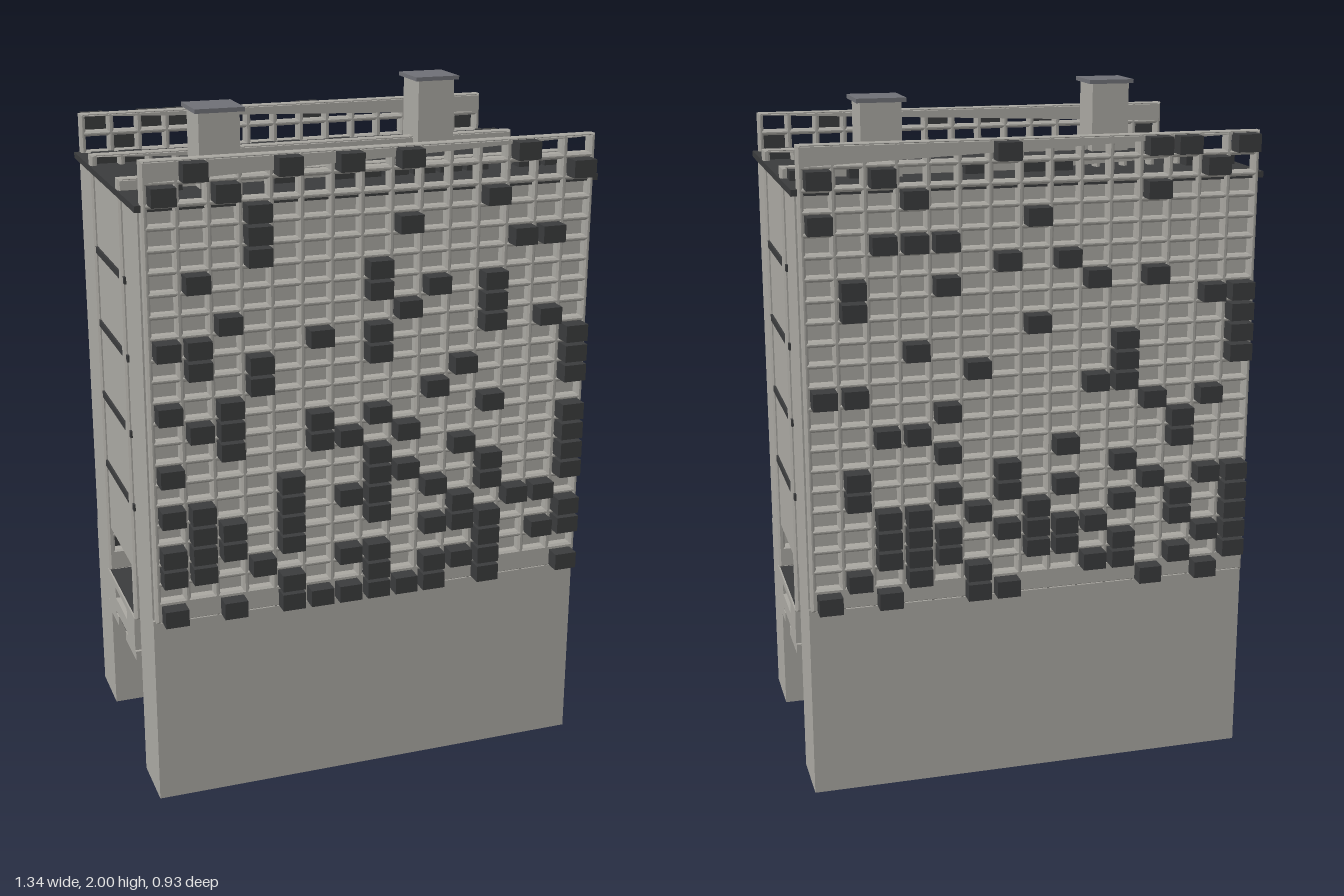
import * as THREE from 'three';

const mat = (color) => new THREE.MeshStandardMaterial({ color, flatShading: true });
const LIGHT = mat(0xa9a7a1), DARK = mat(0x3a3b3c), CAP = mat(0x6f7076);

function box(parent, name, x0, x1, y0, y1, z0, z1, material = LIGHT) {
  const m = new THREE.Mesh(new THREE.BoxGeometry(x1 - x0, y1 - y0, z1 - z0), material);
  m.position.set((x0 + x1) / 2, (y0 + y1) / 2, (z0 + z1) / 2);
  m.name = name;
  parent.add(m);
  return m;
}

// Chamfered lattice plate with a regular grid of openings, and dark blocks plugged
// into some of them. Each row string (bottom first) lists the filled columns in hex.
const ROWS = 22, PITCH_Y = 0.06;
function facade(name, width, y0, zBack, cols, pitchX, rows) {
  const g = new THREE.Group();
  g.name = name;
  const rect = (path, x, y, w, h) => {
    path.moveTo(x - w / 2, y - h / 2);
    path.lineTo(x + w / 2, y - h / 2);
    path.lineTo(x + w / 2, y + h / 2);
    path.lineTo(x - w / 2, y + h / 2);
    path.closePath();
    return path;
  };
  const height = ROWS * PITCH_Y;
  const shape = rect(new THREE.Shape(), 0, y0 + height / 2, width, height);
  const cellX = (c) => (c - (cols - 1) / 2) * pitchX;
  const cellY = (r) => y0 + (r + 0.5) * PITCH_Y;
  for (let r = 0; r < ROWS; r++) {
    for (let c = 0; c < cols; c++) {
      shape.holes.push(rect(new THREE.Path(), cellX(c), cellY(r), pitchX - 0.018, PITCH_Y - 0.016));
    }
  }
  const bevel = 0.006, depth = 0.038;
  const geo = new THREE.ExtrudeGeometry(shape, {
    depth: depth - 2 * bevel, bevelEnabled: true, bevelSegments: 1,
    bevelSize: bevel, bevelThickness: bevel, bevelOffset: -bevel,
  });
  const lattice = new THREE.Mesh(geo, LIGHT);
  lattice.position.z = zBack + bevel;
  lattice.name = 'lattice';
  g.add(lattice);
  rows.forEach((row, r) => {
    for (const ch of row) {
      const x = cellX(parseInt(ch, 16)), y = cellY(r);
      box(g, 'block', x - 0.034, x + 0.034, y - 0.025, y + 0.025, zBack + 0.032, zBack + 0.084, DARK);
    }
  });
  return g;
}

const FRONT_ROWS = [
  '02456789be', '479ab', '01367bde', '01249abe', '1247acd', '0146797be', '478be',
  '07ae', '2568e', '1257b', '029e', '3ae', '137e', '0157bd', '28b', '79b', '17',
  '3cd', '38', '3b', '02e', '1468c',
];
const BACK_ROWS = [
  '0256bd', '1359ace', '23478ade', '2346789ce', '2357ace', '1468bde', '16a',
  '48c', '23c', '4bd', '019a', '5ae', '3ae', '7e', '1de', '149b', '68',
  '234', '07', '3b', '02d', '6bce',
];
const pad = (low, top) => [...low, ...Array(ROWS - 1 - low.length).fill(''), top];
const INNER_FRONT = pad(['0259cf', '147ae', '0368bf'], '15789abcef');
const INNER_BACK = pad(['036adf', '0258cf', '149bf'], '01679df');

export function createModel() {
  const model = new THREE.Group();

  // Main block bridging the passage, on two full-length wall bases
  box(model, 'mainBlock', -0.66, 0.66, 0.64, 1.77, -0.388, 0.388);
  for (const s of [-1, 1]) {
    const z0 = Math.min(s * 0.215, s * 0.397), z1 = Math.max(s * 0.215, s * 0.397);
    box(model, 'wallBase', -0.66, 0.66, 0, 0.58, z0, z1);
    box(model, 'wallUpper', -0.66, 0.66, 0.58, 0.64, s > 0 ? z0 : -0.388, s > 0 ? 0.388 : z1);
  }
  box(model, 'roof', -0.672, 0.672, 1.765, 1.783, -0.41, 0.41, DARK);

  // Outer and inner lattices, mirrored front to back by a half turn
  model.add(facade('frontFacade', 1.31, 0.58, 0.38, 15, 0.0864, FRONT_ROWS));
  const back = facade('backFacade', 1.31, 0.58, 0.38, 15, 0.0864, BACK_ROWS);
  back.rotation.y = Math.PI;
  model.add(back);
  model.add(facade('innerFrontLattice', 1.34, 0.495, 0.166, 16, 0.0823, INNER_FRONT));
  const innerBack = facade('innerBackLattice', 1.34, 0.495, 0.166, 16, 0.0823,
    INNER_BACK.map((row) => [...row].map((c) => (15 - parseInt(c, 16)).toString(16)).join('')));
  innerBack.rotation.y = Math.PI;
  model.add(innerBack);

  // Floor edges showing on both ends
  for (const y of [0.86, 1.085, 1.31, 1.535]) {
    box(model, 'floorEdge', -0.666, 0.666, y - 0.01, y + 0.01, -0.218, 0.218, DARK);
  }

  // Chimneys
  for (const s of [-1, 1]) {
    const x = s * 0.395, z = -s * 0.188;
    box(model, 'chimney', x - 0.058, x + 0.058, 1.77, 1.988, z - 0.062, z + 0.062);
    box(model, 'chimneyCap', x - 0.07, x + 0.07, 1.988, 2, z - 0.072, z + 0.072, CAP);
  }

  // Hollow deck running through the passage
  const deck = new THREE.Group();
  deck.name = 'deck';
  model.add(deck);
  const L = 0.672;
  box(deck, 'deckTop', -L, L, 0.475, 0.495, -0.188, 0.188);
  box(deck, 'deckSurface', -L + 0.005, L - 0.005, 0.495, 0.499, -0.165, 0.165, DARK);
  box(deck, 'deckBottom', -L, L, 0.395, 0.44, -0.08, 0.08);
  for (const z of [-0.045, 0, 0.045]) {
    box(deck, 'pipe', -L + 0.01, L - 0.01, 0.367, 0.395, z - 0.014, z + 0.014, DARK);
  }
  for (const s of [-1, 1]) {
    box(deck, 'deckSide', -L, L, 0.385, 0.475, s * 0.132 - 0.052, s * 0.132 + 0.052);
    box(deck, 'bearingBeam', -L, L, 0.357, 0.387, s * 0.122 - 0.072, s * 0.122 + 0.072);
  }

  // Tapered piers in pairs
  for (const x of [-0.45, 0, 0.45]) {
    for (const s of [-1, 1]) {
      const pier = box(model, 'pier', x - 0.055, x + 0.055, 0, 0.36, s * 0.122 - 0.058, s * 0.122 + 0.058);
      const p = pier.geometry.attributes.position;
      for (let i = 0; i < p.count; i++) {
        if (p.getY(i) > 0) p.setXYZ(i, p.getX(i) * 0.72, p.getY(i), p.getZ(i) * 0.72);
      }
      pier.geometry.computeVertexNormals();
    }
  }
  return model;
}
